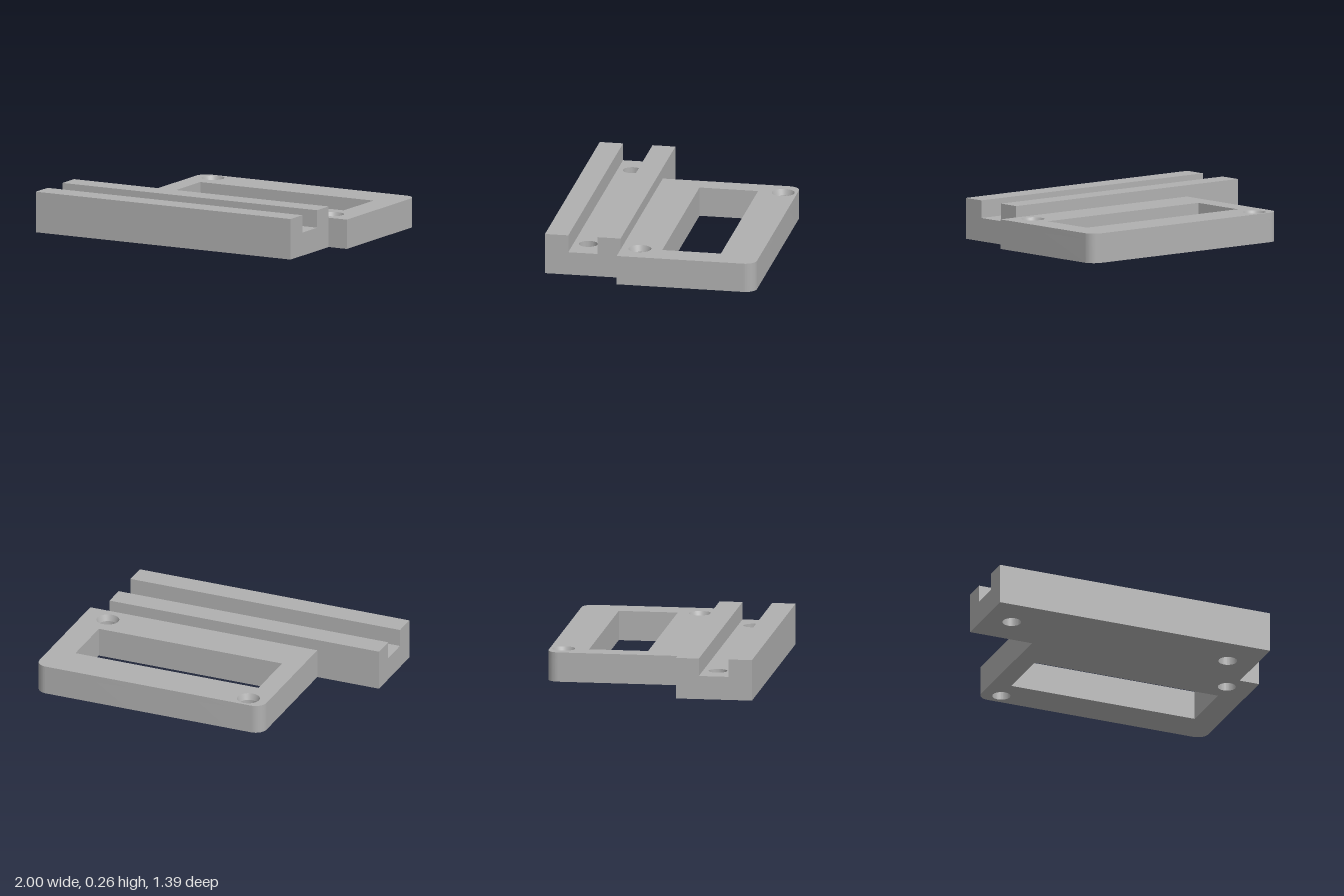
import * as THREE from 'three';
import { toCreasedNormals } from 'three/addons/utils/BufferGeometryUtils.js';

const grey = new THREE.MeshStandardMaterial({ color: 0xb0b0b0, side: THREE.DoubleSide });
grey.name = 'grey';

const BORE = 0.058, SINK = 0.073, SINK_Y = 0.15;
const PLATE_TOP = 0.19, RAIL_TOP = 0.263, GROOVE_Y = 0.15;
const plateHoles = [[-0.44, -0.603], [0.828, 0.085]];
const railHoles = [[-0.815, 0.447], [0.68, 0.447]];

function circleHole(x, z, r) {
  return new THREE.Path().absarc(x, z, r, 0, Math.PI * 2, true);
}

function rectangle(Type, x0, x1, z0, z1) {
  return new Type().moveTo(x0, z0).lineTo(x1, z0).lineTo(x1, z1).lineTo(x0, z1).closePath();
}

// Raises a plan drawn in (x, z) from y0 to y1
function slab(name, shape, y0, y1) {
  let geo = new THREE.ExtrudeGeometry(shape, { depth: y1 - y0, bevelEnabled: false, curveSegments: 24 });
  geo.rotateX(Math.PI / 2).translate(0, y1, 0);
  geo = toCreasedNormals(geo, 0.5);
  const mesh = new THREE.Mesh(geo, grey);
  mesh.name = name;
  return mesh;
}

// Plate plan: rounded back corners, window and two screw holes
function plateShape(holeRadius) {
  const x0 = -0.572, x1 = 1, z0 = -0.693, z1 = 0.203, r = 0.075;
  const s = new THREE.Shape();
  s.moveTo(x0, z1).lineTo(x0, z0 + r);
  s.absarc(x0 + r, z0 + r, r, Math.PI, Math.PI * 1.5, false);
  s.lineTo(x1 - r, z0);
  s.absarc(x1 - r, z0 + r, r, Math.PI * 1.5, Math.PI * 2, false);
  s.lineTo(x1, z1).closePath();
  s.holes.push(rectangle(THREE.Path, -0.44, 0.828, -0.44, -0.06));
  for (const [x, z] of plateHoles) s.holes.push(circleHole(x, z, holeRadius));
  return s;
}

export function createModel() {
  const group = new THREE.Group();
  group.name = 'mountingBracket';

  // Window plate, split where the countersinks begin
  group.add(slab('plateLower', plateShape(BORE), 0, SINK_Y));
  group.add(slab('plateUpper', plateShape(SINK), SINK_Y, PLATE_TOP));

  // Countersink cones
  for (const [x, z] of plateHoles) {
    const cone = new THREE.Mesh(
      new THREE.CylinderGeometry(SINK, BORE, PLATE_TOP - SINK_Y, 48, 1, true), grey);
    cone.position.set(x, (PLATE_TOP + SINK_Y) / 2, z);
    cone.name = 'countersink';
    group.add(cone);
  }

  // Grooved rail: drilled floor between two walls
  const floor = rectangle(THREE.Shape, -1, 0.867, 0.351, 0.542);
  for (const [x, z] of railHoles) floor.holes.push(circleHole(x, z, 0.06));
  group.add(slab('railFloor', floor, 0, GROOVE_Y));
  for (const [name, z0, z1] of [['railBackWall', 0.203, 0.351], ['railFrontWall', 0.542, 0.693]]) {
    group.add(slab(name, rectangle(THREE.Shape, -1, 0.867, z0, z1), 0, RAIL_TOP));
  }
  return group;
}
